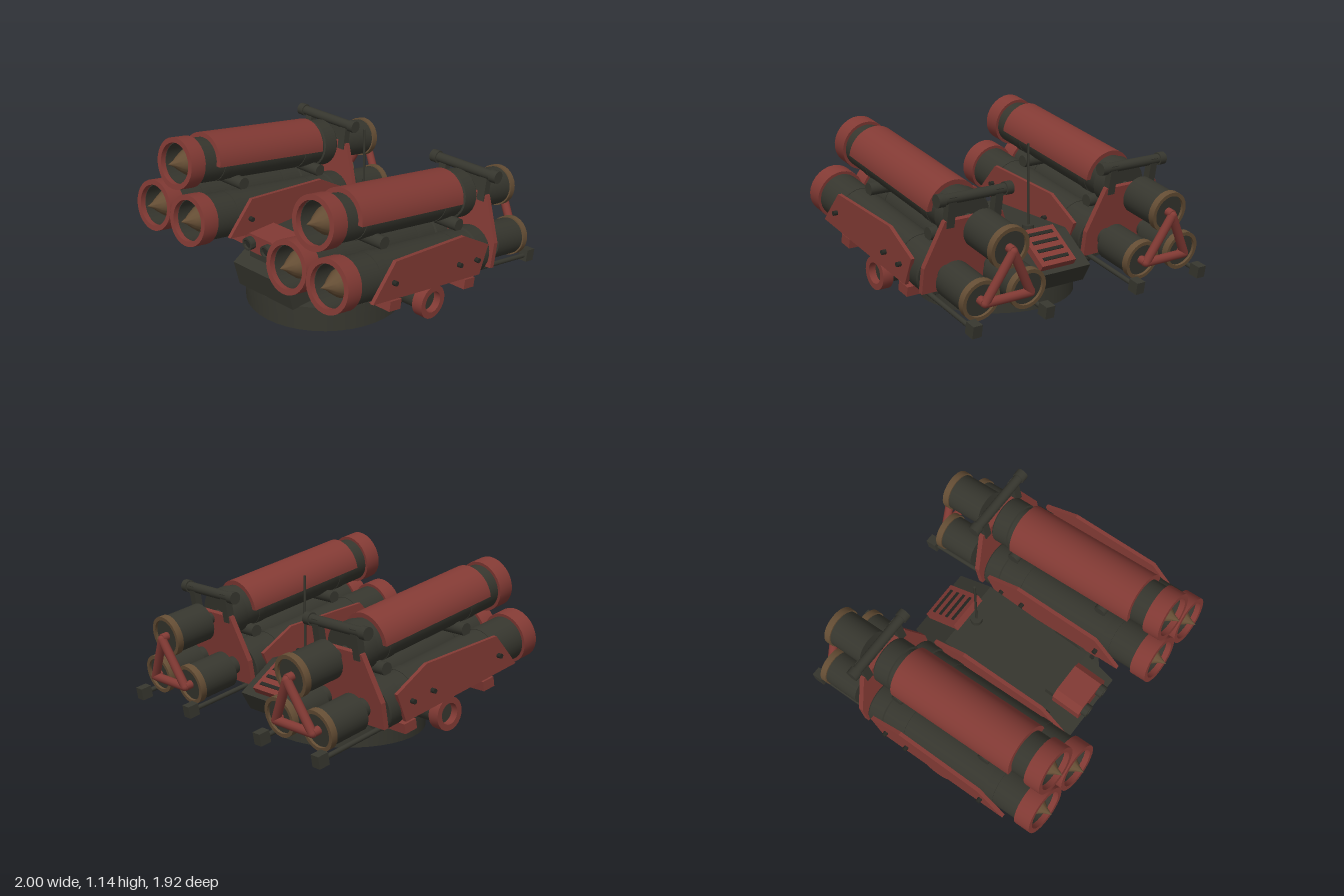
import * as THREE from 'three';
import { toCreasedNormals } from 'three/addons/utils/BufferGeometryUtils.js';

const material = (name, color) => Object.assign(new THREE.MeshStandardMaterial({ color }), { name });

export function createModel() {
  const red = material('brick red', 0x823a34);
  const dark = material('dark olive grey', 0x36362e);
  const black = material('charcoal', 0x272823);
  const brown = material('bronze brown', 0x644d34);
  const model = new THREE.Group();
  model.name = 'twinLauncherTurret';

  // --- helpers ---
  const add = (parent, name, geometry, mat, x = 0, y = 0, z = 0) => {
    const mesh = new THREE.Mesh(geometry, mat);
    mesh.name = name;
    mesh.position.set(x, y, z);
    parent.add(mesh);
    return mesh;
  };
  const box = (w, h, d) => new THREE.BoxGeometry(w, h, d);
  const cyl = (r, length, axis = 'y', sides = 24) => {
    const g = new THREE.CylinderGeometry(r, r, length, sides);
    if (axis === 'x') g.rotateZ(Math.PI / 2);
    if (axis === 'z') g.rotateX(Math.PI / 2);
    return g;
  };
  const shapeOf = (points) => new THREE.Shape(points.map(([x, y]) => new THREE.Vector2(x, y)));
  const prism = (points, depth) =>
    new THREE.ExtrudeGeometry(shapeOf(points), { depth, bevelEnabled: false, curveSegments: 16 }).translate(0, 0, -depth / 2);
  // Profile given as [z, y], thickness along x
  const sidePrism = (points, depth) => prism(points, depth).rotateY(-Math.PI / 2);
  // Profile given as [radius, z], turned about the z axis
  const turned = (points, sides = 28) =>
    toCreasedNormals(
      new THREE.LatheGeometry(points.map(([r, z]) => new THREE.Vector2(r, z)), sides).rotateX(Math.PI / 2), 0.6);
  const ring = (outer, inner, back, front) =>
    turned([[outer, back], [outer, front], [inner, front], [inner, back], [outer, back]]);
  const rod = (parent, name, a, b, r, mat) => {
    const from = new THREE.Vector3(...a), to = new THREE.Vector3(...b);
    const dir = to.clone().sub(from);
    const mesh = add(parent, name, cyl(r, dir.length(), 'y', 12), mat);
    mesh.position.copy(from).lerp(to, 0.5);
    mesh.quaternion.setFromUnitVectors(new THREE.Vector3(0, 1, 0), dir.normalize());
  };

  // --- turntable ---
  const pivotZ = 0.125, pivotY = 0.28;
  add(model, 'turntableLower', cyl(0.535, 0.12, 'y', 40), dark, 0, 0.06, pivotZ);
  add(model, 'turntableRim', cyl(0.545, 0.065, 'y', 40), dark, 0, 0.1425, pivotZ);
  for (let i = 0; i < 12; i++) {
    const a = ((i + 0.5) / 12) * Math.PI * 2;
    add(model, 'turntableBolt', cyl(0.018, 0.02, 'y', 8), black,
      Math.cos(a) * 0.5, 0.18, pivotZ + Math.sin(a) * 0.5);
  }

  // --- central hull ---
  add(model, 'hull', sidePrism([[0.667, 0.172], [0.713, 0.35], [0.49, 0.48],
    [-0.32, 0.48], [-0.583, 0.295], [-0.51, 0.172]], 0.5), dark);
  add(model, 'sensorMount', box(0.25, 0.12, 0.26), dark, 0, 0.485, 0.55);
  add(model, 'sensorHousing', prism([[-0.145, 0.48], [0.145, 0.48], [0.145, 0.565],
    [0.1, 0.605], [-0.1, 0.605], [-0.145, 0.565]], 0.21), red, 0, 0, 0.597);
  for (const s of [-1, 1]) {
    add(model, 'sensorBarrel', ring(0.043, 0.03, 0.69, 0.742), dark, s * 0.082, 0.545, 0);
    add(model, 'sensorLens', cyl(0.031, 0.03, 'z'), black, s * 0.082, 0.545, 0.712);
  }

  // Vent on the sloped rear deck
  const vent = new THREE.Group();
  vent.name = 'vent';
  vent.position.set(0, 0.415, -0.44);
  vent.rotation.x = -0.61;
  model.add(vent);
  add(vent, 'ventCover', box(0.27, 0.06, 0.3), red);
  for (let i = 0; i < 4; i++)
    add(vent, 'ventSlot', box(0.2, 0.008, 0.024), black, 0, 0.031, -0.1 + i * 0.067);

  add(model, 'antennaBase', cyl(0.04, 0.05), dark, 0, 0.503, -0.247);
  add(model, 'antenna', cyl(0.008, 0.56, 'y', 8), dark, 0, 0.785, -0.247);

  // --- one launcher pod, tilted ten degrees about its trunnion ---
  const makePod = () => {
    const pod = new THREE.Group();
    pod.name = 'launcherPod';
    pod.rotation.x = -Math.PI / 18;

    const tubes = [[0, 0.553, 0.127, 0.548], [-0.17, 0.22, 0.122, 0.243], [0.17, 0.22, 0.122, 0.243]];
    for (const [x, y, nozzleR, nozzleY] of tubes) {
      add(pod, 'launchTube', turned([[0, -0.505], [0.155, -0.505], [0.162, -0.495], [0.162, -0.385],
        [0.15, -0.38], [0.15, 0.8], [0.132, 0.8], [0.132, 0.6], [0, 0.6]]), dark, x, y);
      add(pod, 'muzzleRing', ring(0.17, 0.136, 0.722, 0.838), red, x, y);
      add(pod, 'warhead', turned([[0, 0.6], [0.1, 0.6], [0.1, 0.68], [0.085, 0.74],
        [0.05, 0.8], [0.022, 0.84], [0, 0.89]]), brown, x, y);
      for (const z of [-0.24, 0.5])
        add(pod, 'tubeBand', ring(0.154, 0.148, z - 0.035, z + 0.035), dark, x, y);
      // Exhaust nozzle behind the tube
      add(pod, 'nozzleShaft', cyl(y > 0.4 ? 0.035 : 0.06, 0.2, 'z'), dark, x, nozzleY, -0.58);
      add(pod, 'nozzle', cyl(nozzleR, 0.285, 'z', 28), dark, x, nozzleY, -0.79);
      add(pod, 'nozzleRim', ring(nozzleR + 0.01, nozzleR - 0.015, -0.95, -0.905), brown, x, nozzleY);
      add(pod, 'handleStub', cyl(0.028, 0.06, 'z', 12), red, x, nozzleY, -0.95);
    }

    // Curved cover over the upper tube
    const cover = new THREE.Shape();
    cover.absarc(0, 0, 0.184, 0, Math.PI, false);
    cover.absarc(0, 0, 0.148, Math.PI, 0, true);
    const coverGeometry = new THREE.ExtrudeGeometry(cover, { depth: 0.948, bevelEnabled: false, curveSegments: 20 });
    add(pod, 'tubeCover', toCreasedNormals(coverGeometry, 0.6), red, 0, 0.55, -0.336);

    // Cross members and spacers
    for (const z of [0.372, -0.345]) {
      add(pod, 'crossBar', box(0.64, 0.065, 0.1), red, 0, 0.06, z);
      add(pod, 'tubeSpacer', cyl(0.042, 0.34, 'x'), dark, 0, 0.405, z);
    }
    add(pod, 'cradleSpine', box(0.2, 0.07, 0.68), dark, 0, 0.075, 0.013);

    // Armour panels with bolts and lower rails on both sides
    for (const s of [-1, 1]) {
      add(pod, 'sidePanel', sidePrism([[0.612, 0.12], [0.575, 0.18], [0.455, 0.365], [-0.178, 0.415],
        [-0.447, 0.315], [-0.4, 0.12]], 0.026), red, s * 0.333, 0, 0);
      for (const z of [0.455, -0.159, -0.336])
        add(pod, 'panelBolt', cyl(0.016, 0.05, 'x', 10), black, s * 0.35, 0.233, z);
      add(pod, 'lowerRail', cyl(0.016, 0.72, 'z', 10), dark, s * 0.265, 0.115, -0.66);
      add(pod, 'railEnd', box(0.065, 0.08, 0.078), dark, s * 0.265, 0.12, -1.028);
      add(pod, 'barPost', box(0.055, 0.2, 0.05), dark, s * 0.17, 0.645, -0.55);
      add(pod, 'barEnd', cyl(0.042, 0.05, 'x', 16), dark, s * 0.245, 0.725, -0.545);
    }

    // Rear plate and the bar above it
    add(pod, 'rearPlate', prism([[-0.33, 0.13], [0.33, 0.13], [0.33, 0.3], [0.21, 0.59],
      [-0.21, 0.59], [-0.33, 0.3]], 0.036), red, 0, 0, -0.552);
    add(pod, 'rearBar', cyl(0.033, 0.53, 'x', 16), dark, 0, 0.725, -0.545);

    // Triangular handle joining the nozzles
    const corners = [[0, 0.54, -0.978], [-0.165, 0.24, -0.978], [0.165, 0.24, -0.978]];
    corners.forEach((corner, i) => {
      rod(pod, 'triangleHandle', corner, corners[(i + 1) % 3], 0.029, red);
      add(pod, 'handleCorner', new THREE.SphereGeometry(0.029, 12, 8), red, ...corner);
    });
    return pod;
  };

  // --- both sides: pod, bracket and trunnion ---
  for (const s of [-1, 1]) {
    const pod = makePod();
    pod.position.set(s * 0.625, pivotY, pivotZ);
    model.add(pod);
    add(model, 'trunnionBracket', sidePrism([[0.44, 0.17], [0.27, 0.35], [0.22, 0.375],
      [0.03, 0.375], [-0.02, 0.35], [-0.22, 0.17]], 0.08), dark, s * 0.375, 0, 0);
    add(model, 'trunnion', cyl(0.077, 0.66, 'x'), dark, s * 0.56, pivotY, pivotZ);
    const cap = add(model, 'trunnionCap', ring(0.11, 0.07, -0.038, 0.038), red, s * 0.902, pivotY, pivotZ);
    cap.rotation.y = Math.PI / 2;
    add(model, 'elevationDrive', cyl(0.05, 0.2, 'x'), dark, s * 0.42, 0.218, -0.225);
  }
  return model;
}
